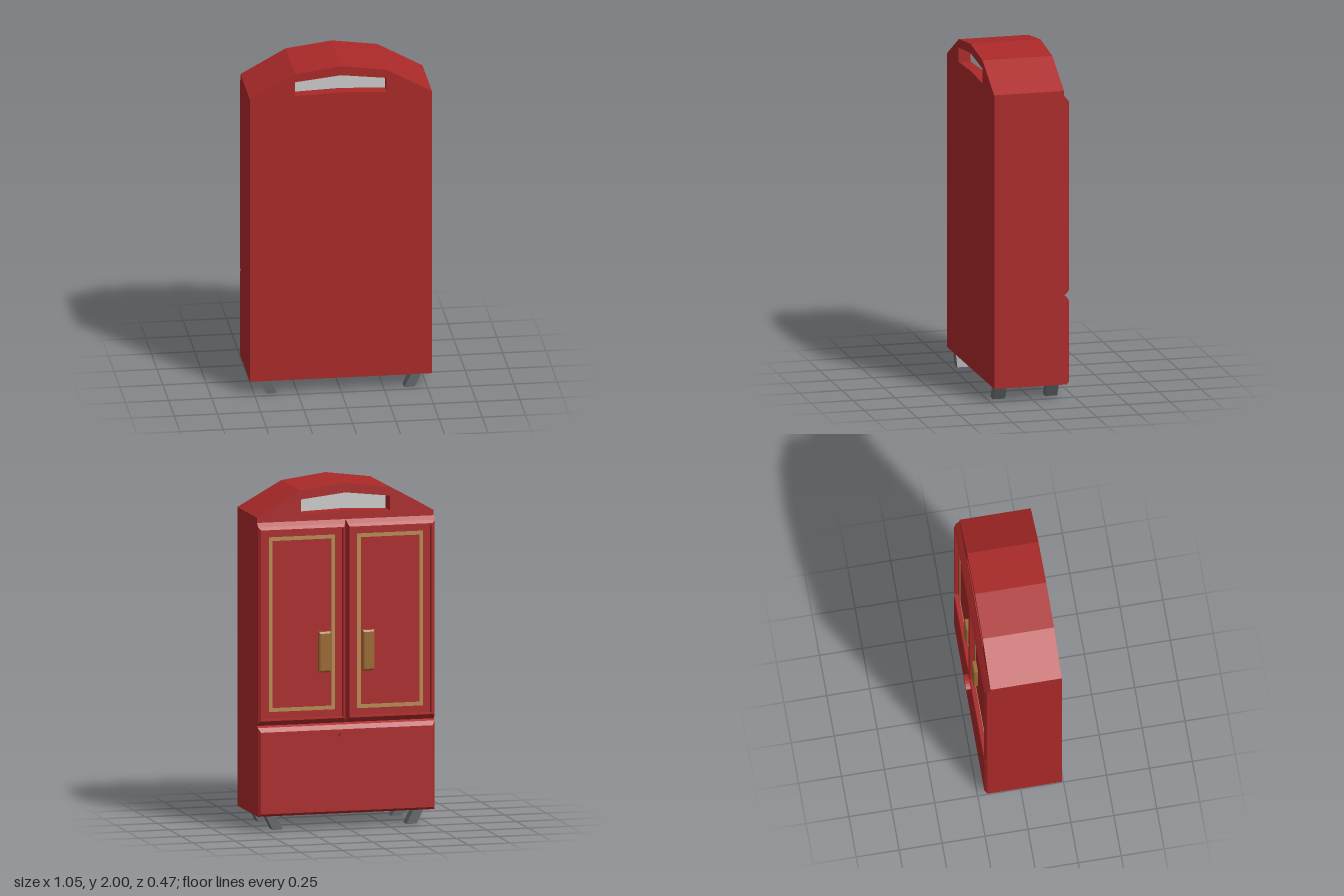
import * as THREE from 'three';

const mat = (color) => new THREE.MeshStandardMaterial({ color, flatShading: true });
const red = mat(0xab2929), gold = mat(0xb58a50), bronze = mat(0x9c6830), iron = mat(0x62696c), grey = mat(0xcccccc);

// Shape from a right-hand outline, mirrored across x = 0
const outline = (half, Type = THREE.Shape) => new Type([
  ...half.map(([x, y]) => new THREE.Vector2(x, y)),
  ...half.filter(([x]) => x > 0).reverse().map(([x, y]) => new THREE.Vector2(-x, y)),
]);

const extrude = (shape, z0, z1) =>
  new THREE.ExtrudeGeometry(shape, { depth: z1 - z0, bevelEnabled: false }).translate(0, 0, z0);

// Panel facing -z, lofted through rectangles [x0, x1, y0, y1, z] and capped
function panel(rings) {
  const pos = [];
  const loops = rings.map(([x0, x1, y0, y1, z]) => [[x1, y0, z], [x0, y0, z], [x0, y1, z], [x1, y1, z]]);
  const quad = (a, b, c, d) => pos.push(...a, ...b, ...c, ...a, ...c, ...d);
  for (let r = 0; r + 1 < loops.length; r++) {
    for (let i = 0; i < 4; i++) {
      const j = (i + 1) % 4;
      quad(loops[r][i], loops[r][j], loops[r + 1][j], loops[r + 1][i]);
    }
  }
  quad(...loops[loops.length - 1]);
  const g = new THREE.BufferGeometry();
  g.setAttribute('position', new THREE.Float32BufferAttribute(pos, 3));
  g.computeVertexNormals();
  return g;
}

export function createModel() {
  const root = new THREE.Group();
  root.name = 'wardrobe';
  const add = (name, geometry, material) => {
    const m = new THREE.Mesh(geometry, material);
    m.name = name;
    root.add(m);
    return m;
  };

  // Cabinet with an arched top and a slot through the crown
  const slot = [[0, 1.84], [0.265, 1.83], [0.265, 1.915], [0, 1.945]];
  const body = outline([[0, 0.085], [0.527, 0.085], [0.527, 1.82], [0.265, 1.965], [0, 2]]);
  body.holes.push(outline(slot, THREE.Path));
  add('cabinet', extrude(body, -0.18, 0.235), red);
  add('slotFilling', extrude(outline(slot), -0.09, 0.165), grey);

  // Drawer with bevelled edges and an oval knob
  add('drawer', panel([
    [-0.527, 0.527, 0.085, 0.61, -0.18],
    [-0.527, 0.527, 0.085, 0.6, -0.196],
    [-0.512, 0.512, 0.1, 0.575, -0.213],
  ]), red);
  const knob = add('drawerKnob', new THREE.CylinderGeometry(0.05, 0.05, 0.04, 16).rotateX(Math.PI / 2), red);
  knob.scale.y = 0.42;
  knob.position.set(0, 0.545, -0.22);

  // Slim gold border inset on each door
  const border = new THREE.Shape();
  const rect = (p, x0, x1, y0, y1) =>
    p.moveTo(x0, y0).lineTo(x1, y0).lineTo(x1, y1).lineTo(x0, y1).closePath();
  rect(border, -0.197, 0.197, 0.69, 1.705);
  const inner = new THREE.Path();
  rect(inner, -0.175, 0.175, 0.712, 1.683);
  border.holes.push(inner);

  for (const s of [1, -1]) {
    const side = s > 0 ? 'left' : 'right';
    const span = (a, b) => (s > 0 ? [a, b] : [-b, -a]);

    // Door: bevelled rim around a sunken face
    add(side + 'Door', panel([
      [...span(0, 0.527), 0.61, 1.79, -0.18],
      [...span(0.009, 0.527), 0.63, 1.767, -0.2],
      [...span(0.015, 0.512), 0.64, 1.75, -0.213],
      [...span(0.022, 0.505), 0.647, 1.743, -0.213],
      [...span(0.024, 0.503), 0.649, 1.741, -0.19],
    ]), red);
    add(side + 'DoorBorder', extrude(border, -0.193, -0.188), gold).position.x = s * 0.263;

    // Handle with chamfered front edges
    add(side + 'Handle', panel([
      [...span(0.095, 0.165), 0.91, 1.145, -0.188],
      [...span(0.095, 0.165), 0.91, 1.145, -0.21],
      [...span(0.102, 0.158), 0.92, 1.135, -0.217],
    ]), bronze);

    // Feet slanting inwards towards the floor
    for (const z of [0.18, -0.13]) {
      const foot = new THREE.BoxGeometry(0.06, 0.085, 0.07);
      const p = foot.attributes.position;
      for (let i = 0; i < p.count; i++) p.setX(i, p.getX(i) + s * p.getY(i) * 0.5);
      foot.computeVertexNormals();
      add(side + (z > 0 ? 'FrontFoot' : 'BackFoot'), foot, iron).position.set(s * 0.42, 0.0425, z);
    }
  }
  return root;
}
